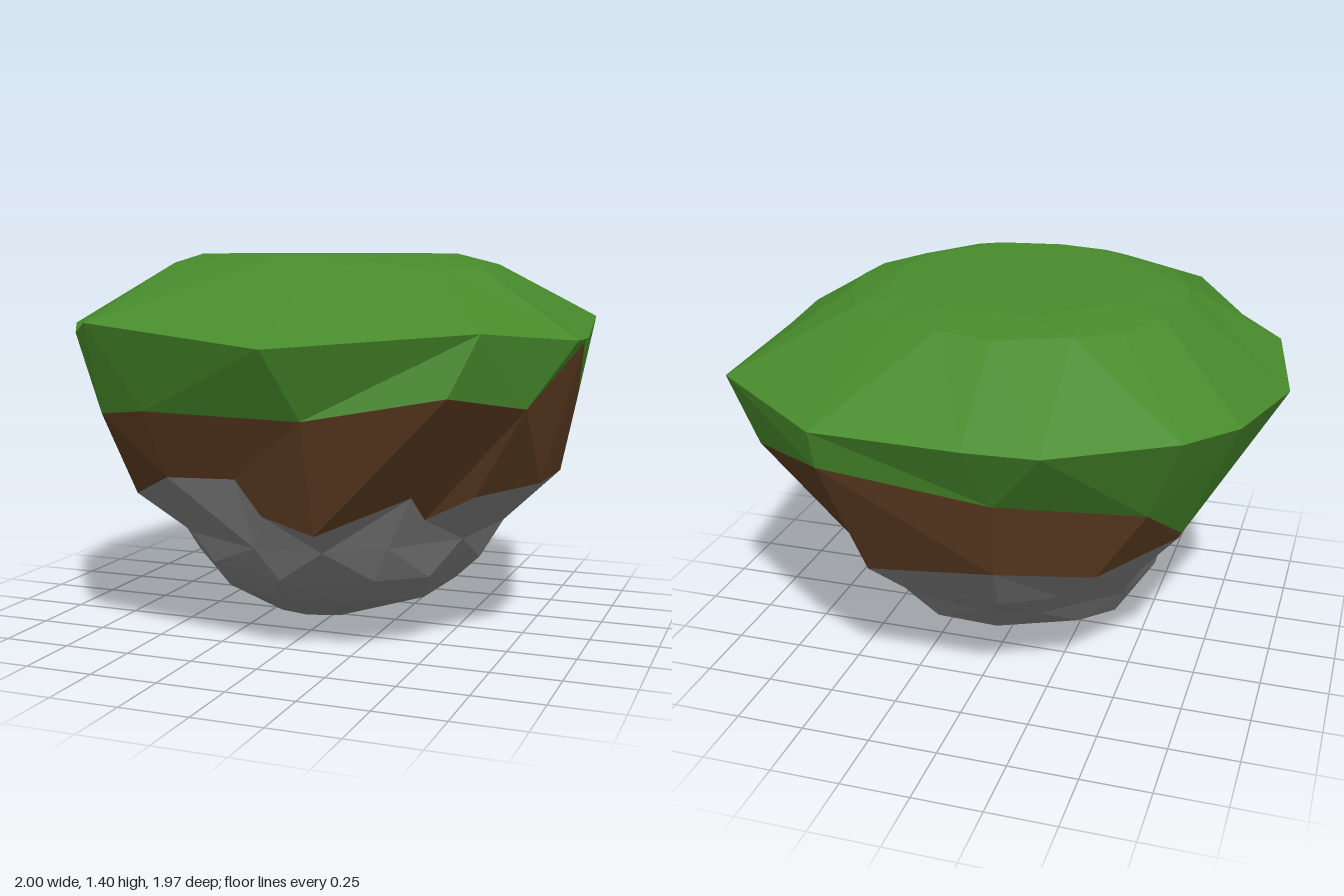
import * as THREE from 'three';

// Small seeded generator for the rough facets
function seeded(seed) {
  return () => {
    seed = (seed * 16807) % 2147483647;
    return seed / 2147483647;
  };
}

const angle = (p) => Math.atan2(p[2], p[0]);
const byAngle = (loop) => [...loop].sort((a, b) => angle(a) - angle(b));

// Rough elliptical loop at height y
function roughLoop(n, y, [x0, x1], [z0, z1], rough, rand) {
  const loop = [];
  for (let i = 0; i < n; i++) {
    const a = ((i + 0.35 * (rand() - 0.5)) / n) * Math.PI * 2;
    const k = 1 + rough * (rand() - 0.5);
    loop.push([
      (x0 + x1) / 2 + ((x1 - x0) / 2) * Math.cos(a) * k,
      y + rough * 0.35 * (rand() - 0.5),
      (z0 + z1) / 2 + ((z1 - z0) / 2) * Math.sin(a) * k,
    ]);
  }
  return loop;
}

// Joins a lower and an upper loop, which may have different point counts
function stitch(lower, upper, out) {
  const A = byAngle(lower), B = byAngle(upper);
  const at = (L, i) => L[i % L.length];
  const next = (L, i) => {
    if (L.length === 1 || i >= L.length) return Infinity;
    return i + 1 === L.length ? angle(L[0]) + Math.PI * 2 : angle(L[i + 1]);
  };
  let i = 0, j = 0;
  while (next(A, i) < Infinity || next(B, j) < Infinity) {
    if (next(A, i) <= next(B, j)) {
      out.push(...at(A, i), ...at(B, j), ...at(A, i + 1));
      i++;
    } else {
      out.push(...at(A, i), ...at(B, j), ...at(B, j + 1));
      j++;
    }
  }
}

// One coloured layer lofted through its loops, bottom to top
function layer(name, color, loops) {
  const positions = [];
  for (let i = 0; i + 1 < loops.length; i++) stitch(loops[i], loops[i + 1], positions);
  const geometry = new THREE.BufferGeometry();
  geometry.setAttribute('position', new THREE.Float32BufferAttribute(positions, 3));
  geometry.computeVertexNormals();
  const mesh = new THREE.Mesh(geometry, new THREE.MeshStandardMaterial({ color, flatShading: true }));
  mesh.name = name;
  return mesh;
}

export function createModel() {
  const rand = seeded(41);

  // Widest outline of the grass cap
  const rim = [
    [0.98, 1.11, 0.08], [1, 1.12, 0.37], [0.77, 1.16, 0.76], [0.12, 1.11, 0.98],
    [-0.51, 1.18, 0.97], [-0.77, 1.12, 0.6], [-0.92, 1.14, 0.35], [-1, 1.07, -0.02],
    [-0.9, 1.12, -0.54], [-0.75, 1.13, -0.75], [-0.35, 1.12, -0.97],
    [-0.1, 1.12, -0.985], [0.42, 1.12, -0.97], [0.88, 1.15, -0.64],
  ];

  // Uneven border between grass and soil, with one deep tongue on the right
  const grassEdge = [
    [0.92, 0.89, -0.07], [0.98, 1.1, 0.15], [0.86, 0.9, 0.5], [0.68, 0.96, 0.81],
    [0.2, 0.87, 0.84], [-0.37, 0.88, 0.84], [-0.55, 0.86, 0.8], [-0.87, 0.95, 0.2],
    [-0.69, 0.61, -0.32], [-0.62, 0.8, -0.61], [-0.16, 0.88, -0.85],
    [0.42, 0.98, -0.93], [0.8, 0.88, -0.58],
  ];

  // Jagged border between soil and rock
  const rockEdge = [
    [0.68, 0.52, -0.21], [0.86, 0.61, -0.08], [0.85, 0.61, 0.22], [0.68, 0.59, 0.46],
    [0.52, 0.51, 0.51], [0.5, 0.6, 0.6], [0.2, 0.47, 0.72], [0, 0.52, 0.7],
    [-0.08, 0.65, 0.74], [-0.34, 0.64, 0.73], [-0.53, 0.55, 0.6], [-0.73, 0.62, 0.35],
    [-0.7, 0.58, 0], [-0.68, 0.59, -0.32], [-0.45, 0.55, -0.62], [-0.14, 0.6, -0.79],
    [0.34, 0.52, -0.73], [0.52, 0.5, -0.47], [0.64, 0.62, -0.4],
  ];

  // Rock rings narrowing to the blunt tip
  const rockMid = roughLoop(14, 0.4, [-0.58, 0.66], [-0.68, 0.65], 0.07, rand);
  const rockLower = roughLoop(12, 0.28, [-0.52, 0.57], [-0.52, 0.57], 0.1, rand);
  const rockLow = roughLoop(11, 0.17, [-0.45, 0.48], [-0.41, 0.43], 0.1, rand);
  const rockFoot = roughLoop(8, 0.04, [-0.22, 0.15], [-0.13, 0.18], 0.08, rand);
  const tip = [[0.03, 0, 0.02]];

  // Rounded shoulder and flat crown of the grass
  const shoulder = roughLoop(18, 1.365, [-0.63, 0.63], [-0.61, 0.6], 0.06, rand);
  const crown = roughLoop(16, 1.4, [-0.47, 0.47], [-0.45, 0.5], 0.08, rand)
    .map(([x, , z]) => [x, 1.4, z]);
  const summit = [[0, 1.4, 0.02]];

  const model = new THREE.Group();
  model.name = 'floatingIsland';
  model.add(
    layer('rockBase', 0x7d7d7d, [tip, rockFoot, rockLow, rockLower, rockMid, rockEdge]),
    layer('soilBand', 0x5a3a20, [rockEdge, grassEdge]),
    layer('grassCap', 0x478a2b, [grassEdge, rim, shoulder, crown, summit]),
  );
  return model;
}
